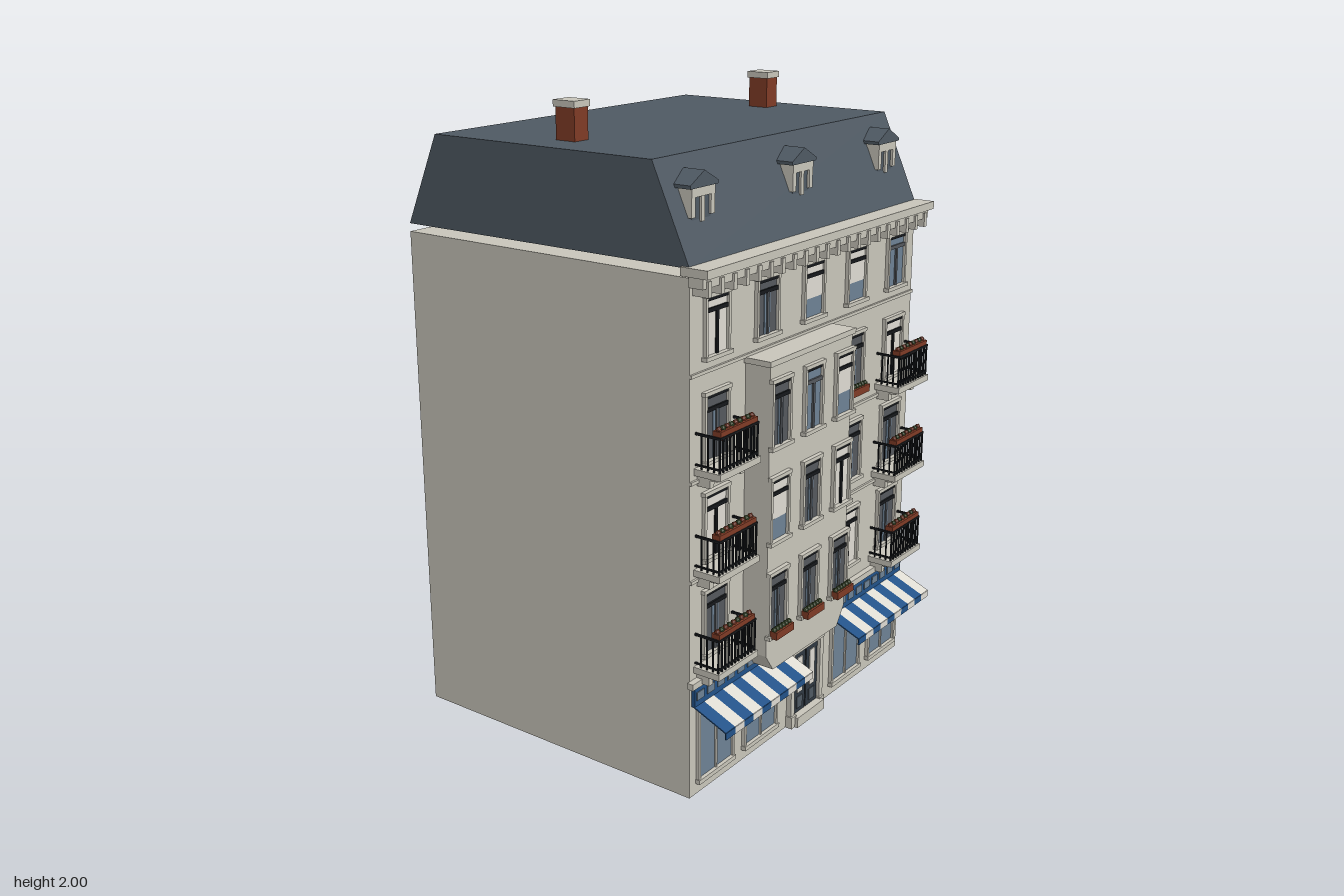
import * as THREE from 'three';

const mat = (name, color, double) => {
  const m = new THREE.MeshStandardMaterial({ color });
  m.name = name;
  if (double) m.side = THREE.DoubleSide;
  return m;
};

export function createModel() {
  const stone = mat('stone', 0xc8c5ba), slate = mat('slate', 0x4f5963), brick = mat('brick', 0x7f3b26),
    blue = mat('awningBlue', 0x225288), white = mat('awningWhite', 0xdedbd2), glass = mat('glass', 0x6d8194),
    black = mat('iron', 0x15181b), curtain = mat('curtain', 0x54585d), door = mat('doorPaint', 0x2e3740),
    green = mat('leaves', 0x3b4c2a);
  const model = new THREE.Group();
  model.name = 'townhouse';
  const FRONT = 0.465, BACK = -0.59;

  const group = (name, x = 0, y = 0, z = 0, parent = model) => {
    const g = new THREE.Group();
    g.name = name;
    g.position.set(x, y, z);
    parent.add(g);
    return g;
  };
  const add = (parent, name, geo, m) => {
    const mesh = new THREE.Mesh(geo, m);
    mesh.name = name;
    parent.add(mesh);
    return mesh;
  };
  // Box given by its limits on each axis
  const box = (parent, name, m, x0, x1, y0, y1, z0, z1) => {
    const mesh = add(parent, name, new THREE.BoxGeometry(x1 - x0, y1 - y0, z1 - z0), m);
    mesh.position.set((x0 + x1) / 2, (y0 + y1) / 2, (z0 + z1) / 2);
    return mesh;
  };
  const extrude = (points, depth) => new THREE.ExtrudeGeometry(
    new THREE.Shape(points.map(p => new THREE.Vector2(...p))), { depth, bevelEnabled: false });

  // Main block and mansard roof
  box(model, 'walls', stone, -0.62, 0.62, 0, 1.58, BACK, FRONT);
  const roofGeo = extrude([[-FRONT, 1.605], [-BACK, 1.605], [0.465, 1.885], [-0.34, 1.885]], 1.24);
  roofGeo.rotateY(Math.PI / 2);
  roofGeo.translate(-0.62, 0, 0);
  add(model, 'mansardRoof', roofGeo, slate);

  // Cornice, dentils and string courses
  box(model, 'corniceSlab', stone, -0.63, 0.63, 1.585, 1.61, 0.44, 0.53);
  box(model, 'corniceBand', stone, -0.625, 0.625, 1.555, 1.585, FRONT, 0.512);
  for (let i = 0; i < 21; i++) {
    const x = -0.6 + i * 0.06;
    box(model, 'dentil', stone, x - 0.008, x + 0.008, 1.53, 1.575, FRONT, 0.518);
  }
  box(model, 'firstFloorCourse', stone, -0.63, 0.63, 0.365, 0.385, FRONT, 0.485);
  for (const y of [0.69, 0.99, 1.3]) box(model, 'stringCourse', stone, -0.62, 0.62, y, y + 0.01, FRONT, 0.472);

  // Chimneys
  for (const x of [-0.47, 0.51]) {
    const g = group('chimney', x, 1.885, -0.063);
    box(g, 'chimneyStack', brick, -0.03, 0.03, -0.01, 0.095, -0.035, 0.035);
    box(g, 'chimneyCap', stone, -0.035, 0.035, 0.095, 0.115, -0.04, 0.04);
  }

  // Dormers with gabled hoods
  for (const x of [-0.5, 0, 0.5]) {
    const g = group('dormer', x, 0, 0);
    box(g, 'dormerCore', slate, -0.043, 0.043, 1.71, 1.8, 0.34, 0.415);
    for (const s of [-1, 1]) {
      const c = s * 0.045;
      box(g, 'dormerPost', stone, c - 0.009, c + 0.009, 1.725, 1.8, 0.37, 0.423);
    }
    box(g, 'dormerLintel', stone, -0.054, 0.054, 1.78, 1.805, 0.36, 0.424);
    box(g, 'dormerMullion', stone, -0.008, 0.008, 1.71, 1.79, 0.41, 0.422);
    const hood = extrude([[-0.065, 1.805], [0.065, 1.805], [0.065, 1.815], [0, 1.85], [-0.065, 1.815]], 0.07);
    hood.translate(0, 0, 0.357);
    add(g, 'dormerRoof', hood, slate);
  }

  // Projecting bay with chamfered foot
  const bayGeo = extrude([[-0.35, 0.38], [-0.31, 0.322], [0.06, 0.322], [0.1, 0.38], [0.1, 1.285], [-0.35, 1.285]], 0.085);
  bayGeo.translate(0, 0, FRONT);
  add(model, 'bay', bayGeo, stone);
  box(model, 'bayCap', stone, -0.36, 0.11, 1.285, 1.302, FRONT, 0.557);

  // Window: d dark curtains, b blue glass, c blind with dark frame, h half blind
  function addWindow(x, y, z, w, h, kind) {
    const g = group('window', x, y, z), a = w / 2;
    box(g, 'pane', { d: curtain, b: glass, c: white, h: glass }[kind], -a, a, 0, h, 0, 0.003);
    if (kind === 'h') box(g, 'blind', white, -a, a, h * 0.35, h, 0.003, 0.005);
    if (kind === 'd') box(g, 'curtainGap', glass, -a * 0.3, a * 0.3, 0, h * 0.75, 0.003, 0.005);
    const frame = kind === 'b' ? curtain : black;
    box(g, 'transom', frame, -a, a, h * 0.74, h * 0.74 + 0.012, 0.003, 0.009);
    box(g, 'headShade', black, -a, a, h - 0.01, h, 0.003, 0.009);
    if (kind !== 'h') box(g, 'mullion', kind === 'd' ? curtain : frame, -0.005, 0.005, 0, h * 0.75, 0.003, 0.009);
    for (const s of [-1, 1]) {
      const c = s * (a + 0.004);
      box(g, 'jamb', stone, c - 0.005, c + 0.005, 0, h, 0, 0.012);
    }
    box(g, 'lintel', stone, -a - 0.012, a + 0.012, h, h + 0.012, 0, 0.014);
    box(g, 'sill', stone, -a - 0.015, a + 0.015, -0.012, 0, 0, 0.018);
  }
  const xs = [-0.5, -0.25, 0, 0.25, 0.5];
  xs.forEach((x, i) => addWindow(x, 1.348, FRONT, 0.1, 0.165, 'cdhhb'[i]));
  const floors = [0.45, 0.75, 1.045];
  ['ddd', 'hdc', 'dbh'].forEach((kinds, f) => {
    [-0.3, -0.125, 0.05].forEach((x, i) => addWindow(x, floors[f], 0.55, 0.085, 0.19, kinds[i]));
  });
  ['dcd', 'cdd', 'ddc'].forEach((kinds, f) => {
    [-0.5, 0.25, 0.5].forEach((x, i) => addWindow(x, floors[f], FRONT, 0.105, 0.19, kinds[i]));
  });

  // Flower boxes
  function addFlowerBox(x, y, z, w, n, plant) {
    const g = group('flowerBox', x, y, z);
    box(g, 'trough', brick, -w / 2, w / 2, 0, 0.024, -0.014, 0.014);
    for (let i = 0; i < n; i++) {
      const p = add(g, 'plant', new THREE.IcosahedronGeometry(0.01, 0), i % 2 ? green : plant);
      p.position.set(-w / 2 + (i + 0.5) * w / n, 0.027, 0);
    }
  }
  for (const x of [-0.3, -0.125, 0.05]) addFlowerBox(x, 0.443, 0.572, 0.095, 6, green);
  addFlowerBox(0.25, 1.043, 0.49, 0.1, 6, green);

  // Balconies with iron railings
  for (const x of [-0.5, 0.5]) for (const y of [0.425, 0.73, 1.035]) {
    const g = group('balcony', x, y, FRONT);
    box(g, 'balconySlab', stone, -0.1, 0.1, -0.02, 0, 0, 0.09);
    box(g, 'balconyMoulding', stone, -0.085, 0.085, -0.03, -0.02, 0, 0.07);
    box(g, 'underPanel', glass, -0.07, 0.07, -0.05, -0.03, 0, 0.004);
    for (const s of [-1, 1]) {
      box(g, 'bracket', stone, s * 0.075 - 0.01, s * 0.075 + 0.01, -0.055, -0.02, 0, 0.045);
      const c = s * 0.092;
      box(g, 'sideRail', black, c - 0.003, c + 0.003, 0.098, 0.105, 0, 0.085);
      box(g, 'sideFootRail', black, c - 0.003, c + 0.003, 0.008, 0.013, 0, 0.085);
      for (let i = 1; i < 4; i++)
        box(g, 'sideBar', black, c - 0.002, c + 0.002, 0, 0.1, i * 0.021 - 0.002, i * 0.021 + 0.002);
    }
    box(g, 'frontRail', black, -0.095, 0.095, 0.098, 0.105, 0.079, 0.086);
    box(g, 'footRail', black, -0.095, 0.095, 0.008, 0.013, 0.08, 0.085);
    for (let i = 0; i < 12; i++) {
      const c = -0.092 + i * 0.184 / 11;
      box(g, 'railBar', black, c - 0.0025, c + 0.0025, 0, 0.1, 0.08, 0.085);
    }
    addFlowerBox(x, y + 0.096, FRONT + 0.07, 0.18, 9, brick);
  }

  // Shopfronts: windows, fascia and striped awning
  for (const s of [-1, 1]) {
    const g = group('shopfront', s * 0.375, 0, FRONT);
    for (const c of [-0.12, 0.12]) {
      box(g, 'shopGlass', glass, c - 0.085, c + 0.085, 0.05, 0.29, 0, 0.004);
      box(g, 'shopMullion', stone, c - 0.003, c + 0.003, 0.05, 0.29, 0.004, 0.01);
      for (const e of [-1, 1]) box(g, 'shopJamb', stone, c + e * 0.088 - 0.005, c + e * 0.088 + 0.005, 0.045, 0.29, 0, 0.012);
      box(g, 'shopSill', stone, c - 0.095, c + 0.095, 0.036, 0.05, 0, 0.016);
    }
    box(g, 'fascia', blue, -0.235, 0.235, 0.3, 0.358, 0, 0.012);
    for (let i = 0; i < 9; i++) {
      const c = -0.208 + i * 0.052;
      box(g, 'fasciaPanel', glass, c - 0.018, c + 0.018, 0.32, 0.346, 0.012, 0.015);
    }
    for (let i = 0; i < 10; i++) {
      const x0 = -0.235 + i * 0.047, m = i % 2 ? white : blue;
      const strip = box(g, 'awningStripe', m, x0, x0 + 0.047, 0.276, 0.28, -0.004, 0.128);
      strip.position.z = 0.063;
      strip.rotation.x = Math.atan2(0.05, 0.12);
      box(g, 'awningValance', m, x0, x0 + 0.047, 0.232, 0.256, 0.12, 0.124);
    }
  }

  // Entrance: double door, pilasters, hood and step
  const entry = group('entrance', 0, 0, FRONT);
  box(entry, 'doorFrame', black, -0.075, 0.075, 0.03, 0.255, 0, 0.004);
  for (const s of [-1, 1]) {
    const c = s * 0.036;
    box(entry, 'doorLeaf', door, c - 0.033, c + 0.033, 0.035, 0.25, 0.004, 0.01);
    box(entry, 'doorPane', white, c - 0.015, c + 0.015, 0.105, 0.23, 0.01, 0.013);
    box(entry, 'doorPanel', slate, c - 0.016, c + 0.016, 0.05, 0.09, 0.01, 0.013);
    box(entry, 'pilaster', stone, s * 0.085 - 0.01, s * 0.085 + 0.01, 0, 0.26, 0, 0.018);
    box(entry, 'pilasterBase', stone, s * 0.085 - 0.014, s * 0.085 + 0.014, 0, 0.04, 0, 0.024);
  }
  box(entry, 'doorLintel', stone, -0.095, 0.095, 0.255, 0.285, 0, 0.022);
  box(entry, 'doorHood', stone, -0.075, 0.075, 0.285, 0.322, 0, 0.03);
  box(entry, 'doorStep', stone, -0.08, 0.08, 0, 0.035, 0, 0.035);

  return model;
}
